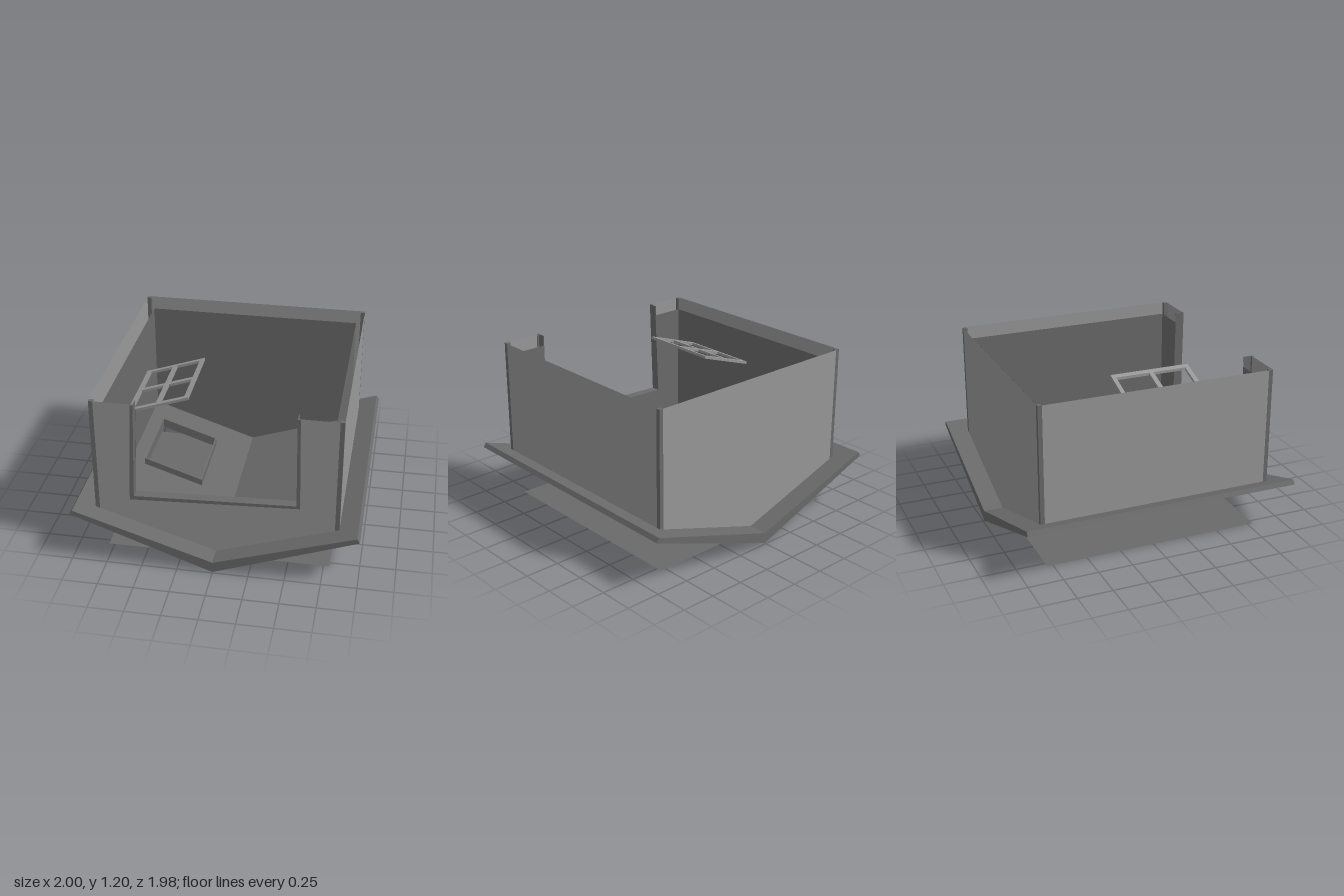
import * as THREE from 'three';

const paint = (color, side = THREE.FrontSide) => new THREE.MeshStandardMaterial({ color, side, flatShading: true });
const dark = paint(0x6a6a6a);
const darkThin = paint(0x6a6a6a, THREE.DoubleSide);
const light = paint(0x989898);
const lightThin = paint(0x989898, THREE.DoubleSide);

const vecs = (pts) => pts.map(([x, y]) => new THREE.Vector2(x, y));
const polygon = (pts) => new THREE.Shape(vecs(pts));
const rect = (x0, y0, x1, y1) => [[x0, y0], [x1, y0], [x1, y1], [x0, y1]];

function add(parent, name, geometry, material) {
  const mesh = new THREE.Mesh(geometry, material);
  mesh.name = name;
  parent.add(mesh);
  return mesh;
}

// Plan outline (x, -z) extruded upward, then bent by the rule (x, t) -> [x, y]
function bentSlab(outline, holes, rule) {
  const shape = polygon(outline);
  holes.forEach((h) => shape.holes.push(new THREE.Path(vecs(h))));
  const g = new THREE.ExtrudeGeometry(shape, { depth: 1, bevelEnabled: false });
  g.rotateX(-Math.PI / 2);
  const p = g.attributes.position;
  for (let i = 0; i < p.count; i++) {
    const [x, y] = rule(p.getX(i), p.getY(i));
    p.setXY(i, x, y);
  }
  g.computeVertexNormals();
  return g;
}

const HALF = 0.85, INNER = 0.79, POST = 0.03, TOP = 1.2;
const roofTop = (x) => 0.08 + 0.327 * Math.abs(x);
const panelTop = (x) => 0.022 + 0.338 * Math.abs(x);

// Crooked door opening: left and right edges, each from top to bottom
const doorInner = [[-0.545, TOP], [-0.57, 0.48], [0.555, 0.525], [0.545, TOP]];
const doorOuter = [[-0.565, TOP], [-0.6, 0.45], [0.58, 0.505], [0.565, TOP]];
const doorBack = [[-0.55, TOP], [-0.575, 0.475], [0.56, 0.52], [0.55, TOP]];

// Four thin walls; the gables follow the V of the floor rule
function walls(name, half, span, top, floor, material) {
  const group = new THREE.Group();
  group.name = name;
  const eave = floor(half);
  const gable = [[-span, top], [-span, floor(span)], [0, floor(0)], [span, floor(span)], [span, top]];
  const notch = doorInner.map(([x, y]) => [x, Math.min(y, top)]).reverse();
  add(group, 'frontWall', new THREE.ShapeGeometry(polygon([...gable, ...notch])), material).position.z = half;
  add(group, 'backWall', new THREE.ShapeGeometry(polygon(gable)), material).position.z = -half;
  for (const s of [-1, 1]) {
    const side = add(group, s > 0 ? 'leftWall' : 'rightWall',
      new THREE.ShapeGeometry(polygon(rect(-span, eave, span, top))), material);
    side.rotation.y = s * Math.PI / 2;
    side.position.x = s * half;
  }
  return group;
}

// U-shaped frame between two door outlines
function doorRing(outer, inner, depth) {
  const shape = polygon([...outer, ...[...inner].reverse()]);
  return new THREE.ExtrudeGeometry(shape, { depth, bevelEnabled: false });
}

export function createModel() {
  const model = new THREE.Group();
  model.name = 'upturnedHouse';

  // V-shaped eaves running round the house, and the inner ceiling panel with a skylight hole
  const skylight = rect(-0.675, -0.09, -0.26, 0.5);
  for (const s of [-1, 1]) {
    const label = s < 0 ? 'right' : 'left';
    const eaves = [
      [0, -0.99], [s, -0.99], [s, 0.99], [0, 0.99],
      [0, INNER], [s * INNER, INNER], [s * INNER, -INNER], [0, -INNER],
    ];
    add(model, label + 'Eaves', bentSlab(eaves, [], (x, t) => {
      const X = Math.abs(x) > 0.99 ? x * (1 - 0.02 * t) : x;
      return [X, t > 0.5 ? roofTop(X) : 0.37 * Math.abs(x)];
    }), dark);
    add(model, label + 'Ceiling', bentSlab(rect(0, -INNER, s * INNER, INNER), s < 0 ? [skylight] : [],
      (x, t) => [x, panelTop(x) - 0.022 * (1 - t)]), dark);
  }

  // Raised curb round the skylight
  add(model, 'skylightCurb', bentSlab(rect(-0.685, -0.1, -0.25, 0.51), [skylight],
    (x, t) => [x, panelTop(x) - 0.02 + 0.07 * t]), dark);

  // Flat sheet on the ground
  const sheet = add(model, 'groundSheet', new THREE.PlaneGeometry(2 * INNER, 2 * INNER), darkThin);
  sheet.rotation.x = -Math.PI / 2;

  // Outer walls, and the inset inner walls that stop short of the rim
  model.add(walls('outerWalls', HALF, HALF - POST, TOP, roofTop, lightThin));
  model.add(walls('innerWalls', INNER, INNER, 1.125, panelTop, darkThin));

  // Square corner posts
  const foot = 0.34, mid = HALF - POST / 2;
  for (const sx of [-1, 1]) for (const sz of [-1, 1]) {
    add(model, 'cornerPost', new THREE.BoxGeometry(POST, TOP - foot, POST), dark)
      .position.set(sx * mid, (TOP + foot) / 2, sz * mid);
  }

  // Door reveal through the wall, and the flat trim on its front
  add(model, 'doorReveal', doorRing(doorBack, doorInner, 0.06), dark).position.z = INNER;
  add(model, 'doorTrim', doorRing(doorOuter, doorInner, 0.012), dark).position.z = HALF - 0.004;

  // Tilted four-pane window frame hanging inside
  const panes = [];
  for (const [x0, x1] of [[-0.65, -0.487], [-0.45, -0.284]])
    for (const [z0, z1] of [[-0.07, 0.182], [0.217, 0.465]]) panes.push(rect(x0, -z1, x1, -z0));
  add(model, 'windowFrame', bentSlab(rect(-0.685, -0.5, -0.25, 0.1), panes,
    (x, t) => [x, 1.07 + 0.34 * (x + 0.25) + 0.02 * t]), light);

  return model;
}
